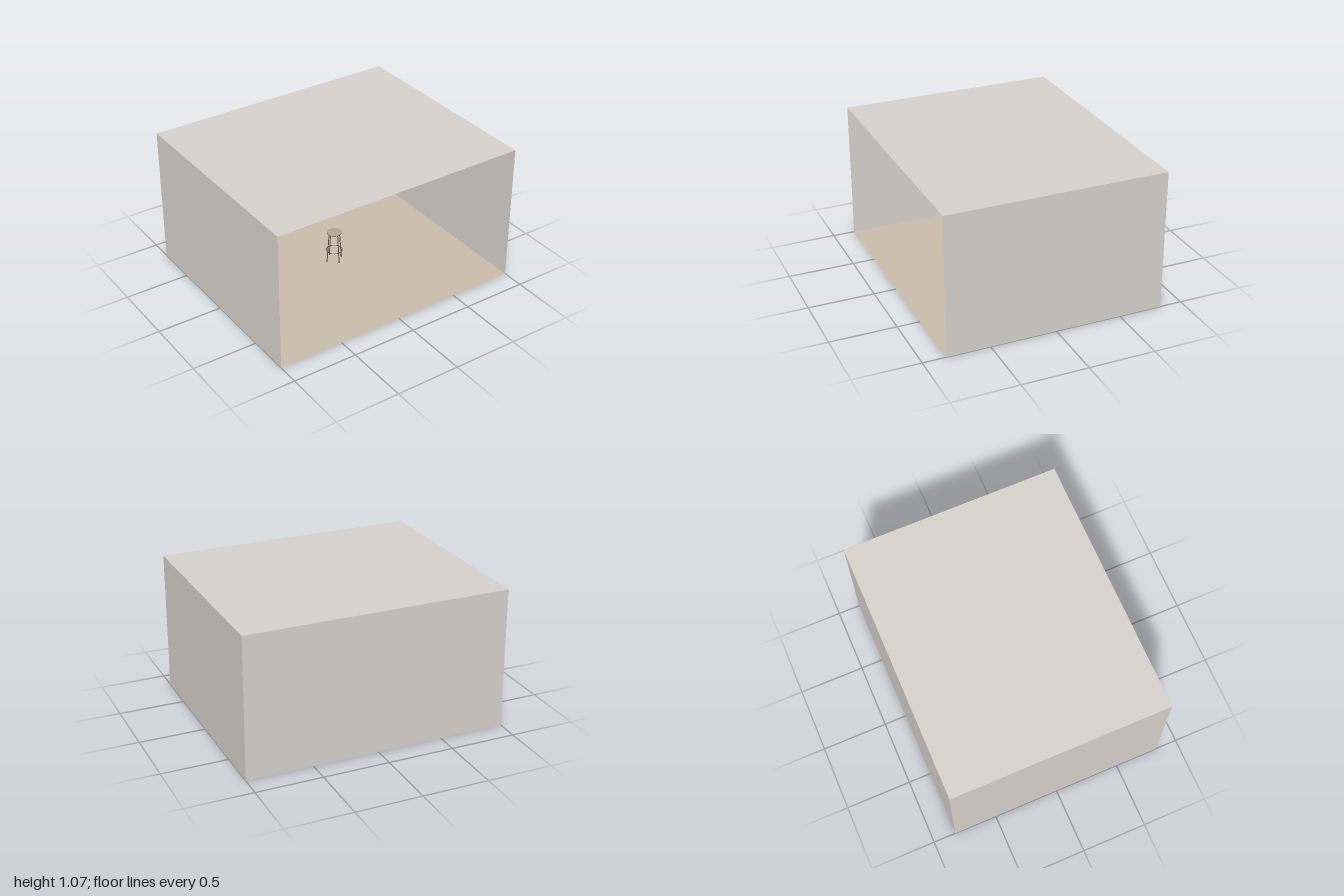
import * as THREE from 'three';

const W = 2, H = 1.07, D = 1.66;

function material(name, color, extra = {}) {
  const m = new THREE.MeshStandardMaterial({ color, ...extra });
  m.name = name;
  return m;
}

function add(parent, name, geometry, mat, x = 0, y = 0, z = 0) {
  const mesh = new THREE.Mesh(geometry, mat);
  mesh.name = name;
  mesh.position.set(x, y, z);
  parent.add(mesh);
  return mesh;
}

// Straight round bar between two points
function bar(parent, name, a, b, radius, mat) {
  const dir = b.clone().sub(a);
  const mesh = add(parent, name, new THREE.CylinderGeometry(radius, radius, dir.length(), 12), mat);
  mesh.position.copy(a).add(b).multiplyScalar(0.5);
  mesh.quaternion.setFromUnitVectors(new THREE.Vector3(0, 1, 0), dir.normalize());
}

function createRoom() {
  const wall = material('wall paint', 0xd6d0cb, { side: THREE.DoubleSide });
  const boards = material('floor tan', 0xc9bba9, { side: THREE.DoubleSide });
  const room = new THREE.Group();
  room.name = 'room';

  // Floor, ceiling and back wall; the front stays open
  add(room, 'floor', new THREE.PlaneGeometry(W, D).rotateX(-Math.PI / 2), boards);
  add(room, 'ceiling', new THREE.PlaneGeometry(W, D).rotateX(Math.PI / 2), wall, 0, H, 0);
  add(room, 'backWall', new THREE.PlaneGeometry(W, H), wall, 0, H / 2, -D / 2);

  // Side walls facing inwards
  for (const s of [-1, 1]) {
    const side = new THREE.PlaneGeometry(D, H).rotateY(-s * Math.PI / 2);
    add(room, s > 0 ? 'leftWall' : 'rightWall', side, wall, s * W / 2, H / 2, 0);
  }
  return room;
}

function createStool() {
  const metal = material('dark metal', 0x55514d);
  const wood = material('seat wood', 0xb3a490);
  const rubber = material('foot rubber', 0x383634);
  const stool = new THREE.Group();
  stool.name = 'stool';

  // Round seat with softened edges, held in a metal rim
  const profile = [[0, 0.238], [0.053, 0.238], [0.055, 0.24], [0.055, 0.247], [0.053, 0.25], [0, 0.25]];
  const seat = new THREE.LatheGeometry(profile.map(([r, y]) => new THREE.Vector2(r, y)), 32);
  add(stool, 'seat', seat, wood);
  add(stool, 'seatRim', new THREE.TorusGeometry(0.053, 0.003, 8, 32).rotateX(Math.PI / 2), metal, 0, 0.24, 0);

  // Footrest ring
  add(stool, 'footRing', new THREE.TorusGeometry(0.06, 0.0028, 8, 32).rotateX(Math.PI / 2), metal, 0, 0.086, 0);

  // Four splayed legs with feet
  for (let i = 0; i < 4; i++) {
    const a = i * Math.PI / 2;
    const at = (r, y) => new THREE.Vector3(r * Math.cos(a), y, r * Math.sin(a));
    bar(stool, 'leg', at(0.066, 0.006), at(0.047, 0.24), 0.0036, metal);
    add(stool, 'foot', new THREE.CylinderGeometry(0.0045, 0.005, 0.012, 12), rubber).position.copy(at(0.066, 0.006));
  }
  stool.position.set(0.043, 0, -0.06);
  return stool;
}

export function createModel() {
  const model = new THREE.Group();
  model.name = 'roomWithStool';
  model.add(createRoom(), createStool());
  return model;
}
